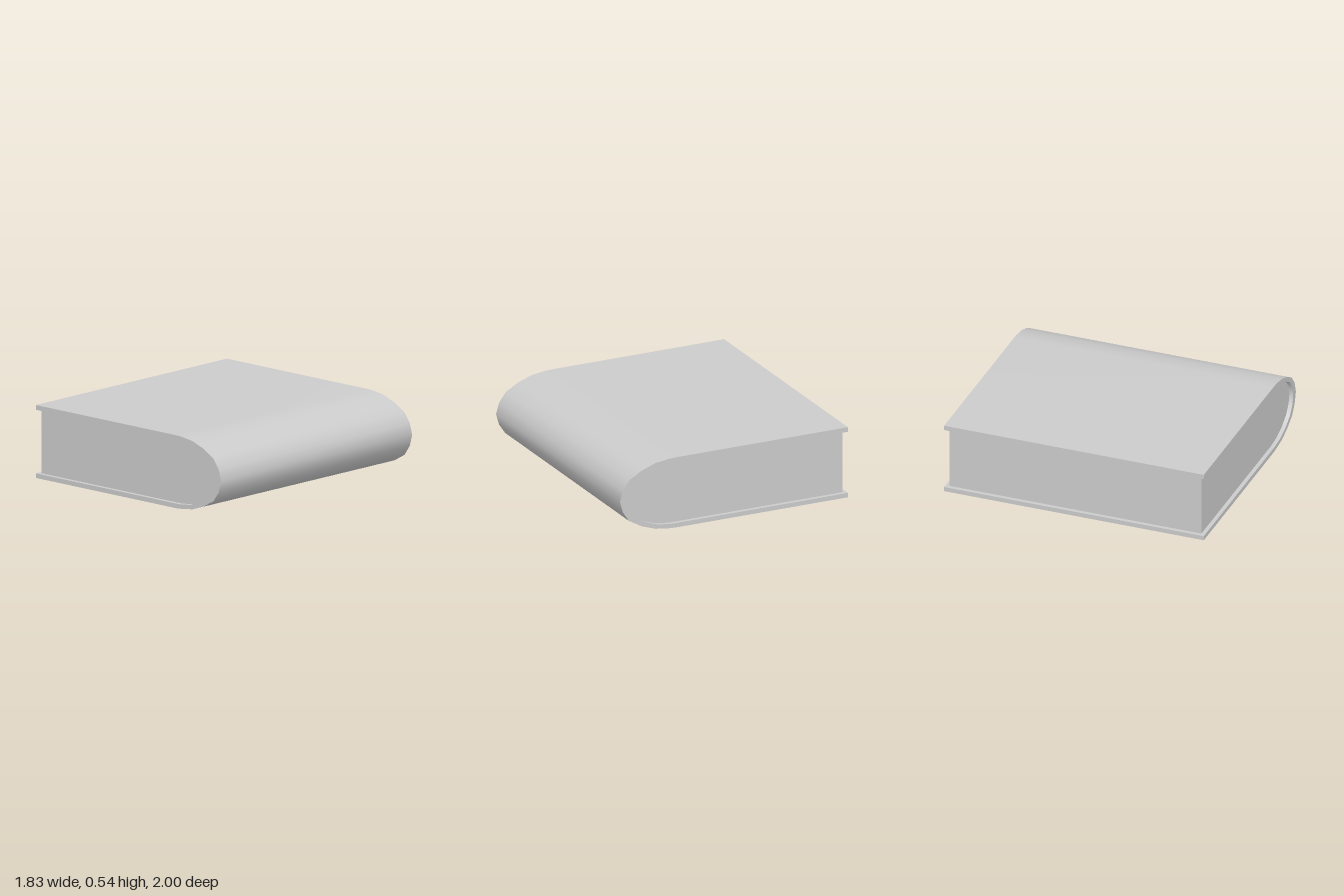
import * as THREE from 'three';
import { toCreasedNormals } from 'three/addons/utils/BufferGeometryUtils.js';

// Spine curves in the xy plane, from the bottom board round to the top board
const outer = [
  [0.47, 0], [0.52, 0.003], [0.63, 0.017], [0.74, 0.055], [0.84, 0.112], [0.89, 0.185], [0.914, 0.27],
  [0.89, 0.353], [0.835, 0.426], [0.74, 0.482], [0.63, 0.521], [0.52, 0.536], [0.47, 0.538],
];
const inner = [
  [0.46, 0.034], [0.5, 0.034], [0.61, 0.046], [0.71, 0.08], [0.795, 0.132], [0.847, 0.202], [0.862, 0.27],
  [0.847, 0.338], [0.795, 0.407], [0.71, 0.46], [0.49, 0.493], [0.46, 0.503],
];

// Extrudes an outline along z, centred, with smooth curves and sharp edges
function slab(name, points, depth) {
  const shape = new THREE.Shape(points.map(([x, y]) => new THREE.Vector2(x, y)));
  let geometry = new THREE.ExtrudeGeometry(shape, { depth, bevelEnabled: false });
  geometry.translate(0, 0, -depth / 2);
  geometry = toCreasedNormals(geometry, 0.6);
  const mesh = new THREE.Mesh(geometry, new THREE.MeshStandardMaterial({ color: 0xcccccc }));
  mesh.name = name;
  return mesh;
}

export function createModel() {
  const book = new THREE.Group();
  book.name = 'book';

  // Cover: both boards and the rounded spine in one C-shaped section
  const edge = -0.914;
  book.add(slab('cover', [
    [edge, 0], ...outer, [edge, 0.538],
    [edge, 0.503], ...[...inner].reverse(), [edge, 0.034],
  ], 2));

  // Page block: fills the cover, set back from its three open edges
  book.add(slab('pages', [[-0.885, 0.034], ...inner, [-0.885, 0.503]], 1.94));

  return book;
}
